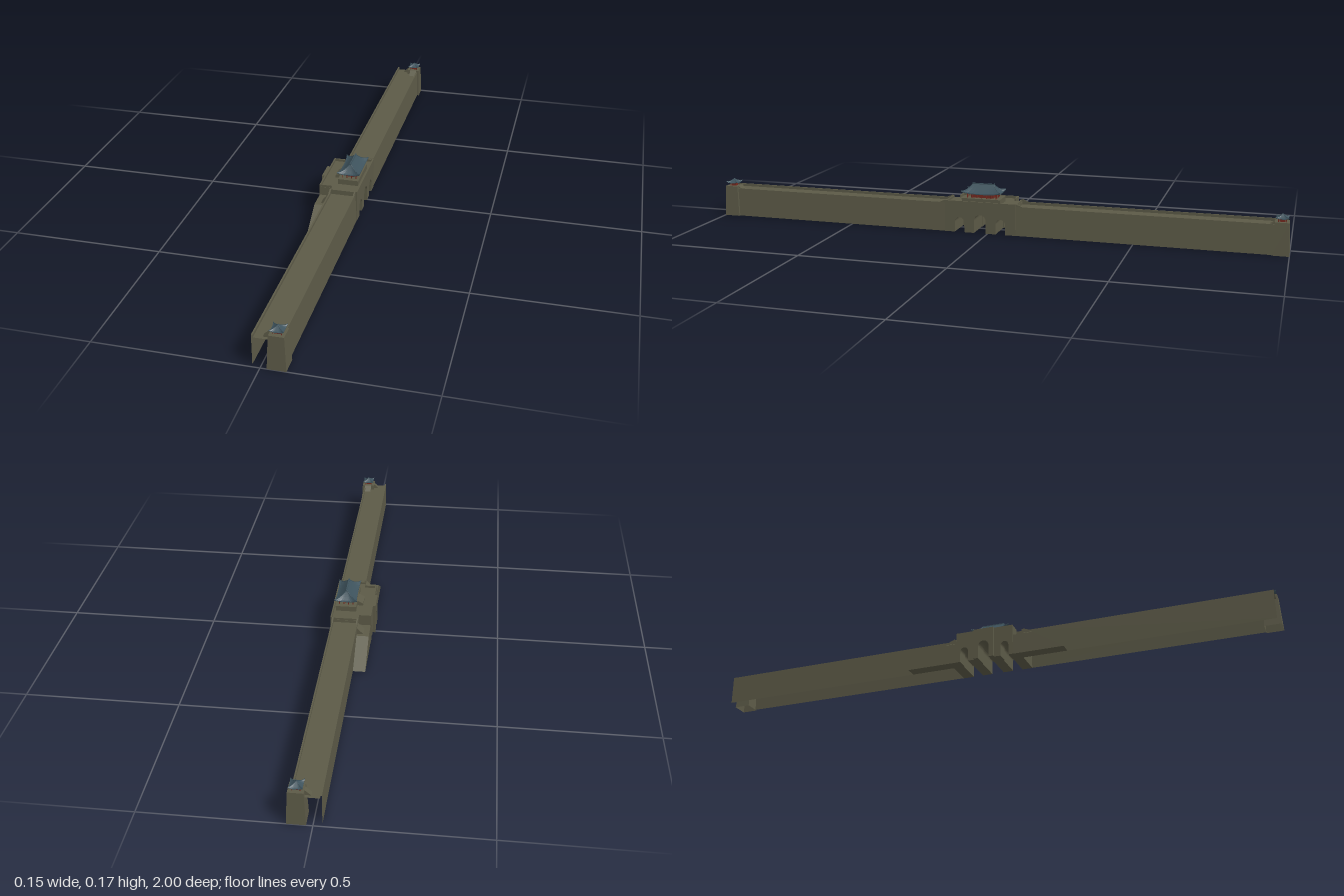
import * as THREE from 'three';

const mat = (name, color) => new THREE.MeshStandardMaterial({ name, color, side: THREE.DoubleSide });

export function createModel() {
  const stone = mat('olive stone', 0x5c5a47);
  const tile = mat('teal roof tile', 0x3d525c);
  const red = mat('red timber', 0x74291f);
  const root = new THREE.Group();
  root.name = 'fortress wall';
  const MID = 0.027; // z of the gate's middle

  const add = (name, geo, m, parent = root) => {
    const mesh = new THREE.Mesh(geo, m);
    mesh.name = name;
    parent.add(mesh);
    return mesh;
  };
  // Box given by its limits
  const box = (name, m, x0, x1, y0, y1, z0, z1, parent) =>
    add(name, new THREE.BoxGeometry(x1 - x0, y1 - y0, z1 - z0)
      .translate((x0 + x1) / 2, (y0 + y1) / 2, (z0 + z1) / 2), m, parent);
  // Flat-shaded surface from a list of quads
  const quads = (list) => {
    const pos = [];
    for (const [a, b, c, d] of list) pos.push(...a, ...b, ...c, ...a, ...c, ...d);
    const g = new THREE.BufferGeometry();
    g.setAttribute('position', new THREE.Float32BufferAttribute(pos, 3));
    g.computeVertexNormals();
    return g;
  };
  // Solid with a (z, y) side outline, running from x0 to x1
  const alongX = (name, shape, x0, x1) =>
    add(name, new THREE.ExtrudeGeometry(shape, { depth: x1 - x0, bevelEnabled: false, curveSegments: 8 })
      .rotateY(Math.PI / 2).translate(x0, 0, 0), stone);
  const outlineZ = (pts) => new THREE.Shape(pts.map(([z, y]) => new THREE.Vector2(-z, y)));
  // Solid with an (x, y) outline, running from z0 to z1
  const alongZ = (name, pts, z0, z1) =>
    add(name, new THREE.ExtrudeGeometry(new THREE.Shape(pts.map((p) => new THREE.Vector2(...p))),
      { depth: z1 - z0, bevelEnabled: false }).translate(0, 0, z0), stone);

  // Long hollow walls with a walkway and parapets, open below and at the ends
  const profile = [[-0.025, 0], [-0.025, 0.1], [-0.02, 0.1], [-0.02, 0.091],
    [0.058, 0.091], [0.058, 0.1], [0.063, 0.1], [0.068, 0]];
  for (const [z0, z1] of [[-0.99, -0.1], [0.153, 0.99]]) {
    const list = [];
    for (let i = 0; i < profile.length - 1; i++) {
      const [a, b] = [profile[i], profile[i + 1]];
      list.push([[...a, z1], [...b, z1], [...b, z0], [...a, z0]]);
    }
    add('longWall', quads(list), stone);
  }

  // Gate block pierced by three arched passages
  const archWall = (name, x0, x1, z0, z1, h, arches) => {
    const s = new THREE.Shape();
    s.moveTo(-z1, 0);
    for (const [z, w, top] of arches) {
      s.lineTo(-z - w, 0);
      s.lineTo(-z - w, top - w);
      s.absarc(-z, top - w, w, Math.PI, 0, true);
      s.lineTo(-z + w, 0);
    }
    s.lineTo(-z0, 0);
    s.lineTo(-z0, h);
    s.lineTo(-z1, h);
    s.closePath();
    return alongX(name, s, x0, x1);
  };
  const passages = (side, mid) => [[MID + 0.073, side, 0.052], [MID, mid, 0.064], [MID - 0.073, side, 0.052]];
  archWall('gateFront', -0.025, 0.069, -0.1, 0.153, 0.1, passages(0.017, 0.021));
  archWall('gateRear', -0.067, -0.025, -0.075, 0.13, 0.1, passages(0.014, 0.019));
  archWall('gateRearBay', -0.076, -0.067, MID - 0.036, MID + 0.036, 0.108, [[MID, 0.019, 0.062]]);

  // Gate parapets
  box('gateParapetFront', stone, 0.064, 0.069, 0.1, 0.109, -0.1, 0.153);
  box('gateParapetRear', stone, -0.067, -0.062, 0.1, 0.108, -0.075, 0.13);
  for (const s of [-1, 1]) {
    const e = MID + s * 0.126, r = MID + s * 0.102;
    const ramp = outlineZ([[e, 0.091], [e, 0.109], [e + s * 0.022, 0.1], [e + s * 0.022, 0.091]]);
    alongX('parapetRamp', ramp, 0.058, 0.063);
    alongX('parapetRamp', ramp, -0.025, -0.02);
    box('gateParapetSide', stone, -0.025, 0.064, 0.1, 0.107, Math.min(e, e - s * 0.005), Math.max(e, e - s * 0.005));
    box('rearParapetSide', stone, -0.067, -0.025, 0.1, 0.108, Math.min(r, r - s * 0.005), Math.max(r, r - s * 0.005));

    // Rear ramp rising to a landing, then a short flight onto the wall
    alongX('rearRamp', outlineZ([[MID + s * 0.28, 0], [MID + s * 0.172, 0.07], [r, 0.07], [r, 0]]), -0.066, -0.025);
    const f0 = MID + s * 0.125, f1 = MID + s * 0.16;
    alongZ('upperFlight', [[-0.047, 0.07], [-0.025, 0.07], [-0.025, 0.092]], Math.min(f0, f1), Math.max(f0, f1));
  }

  // Curved roof with upswept corners, built ring by ring from eave to ridge
  const roof = (parent, cx, cz, y0, y1, eave, ridge, lift) => {
    const N = 8, R = 6, rings = [];
    for (let j = 0; j <= R; j++) {
      const t = j / R, k = (1 - t) ** 2;
      const hx = eave[0] + (ridge[0] - eave[0]) * t, hz = eave[1] + (ridge[1] - eave[1]) * t;
      const ring = [];
      for (let side = 0; side < 4; side++) for (let i = 0; i < N; i++) {
        const s = -1 + (2 * i) / N;
        const [u, v] = [[s, 1], [1, -s], [-s, -1], [-1, s]][side];
        const c = Math.abs(s) ** 4 * k;
        const out = 1 + 0.1 * c;
        ring.push([cx + u * hx * out, y0 + (y1 - y0) * t ** 1.4 + lift * c, cz + v * hz * out]);
      }
      rings.push(ring);
    }
    const list = [], n = 4 * N, thick = lift * 0.35;
    for (let j = 0; j < R; j++) for (let i = 0; i < n; i++) {
      const m = (i + 1) % n;
      list.push([rings[j][i], rings[j][m], rings[j + 1][m], rings[j + 1][i]]);
    }
    // Eave edge and underside
    const low = rings[0].map(([x, y, z]) => [x, y - thick, z]);
    for (let i = 0; i < n; i++) {
      const m = (i + 1) % n, c = [cx, y0, cz];
      list.push([low[i], low[m], rings[0][m], rings[0][i]], [low[m], low[i], c, c]);
    }
    add('roof', quads(list), tile, parent);
    // Hip ridges ending in raised tips
    for (let side = 0; side < 4; side++) {
      const path = new THREE.CatmullRomCurve3(rings.map((r) => new THREE.Vector3(...r[side * N])));
      add('hipRidge', new THREE.TubeGeometry(path, 8, lift * 0.18, 4), tile, parent);
    }
  };

  // Gate pavilion on its podium
  const pavilion = new THREE.Group();
  pavilion.name = 'gatePavilion';
  root.add(pavilion);
  const PX = 0.024;
  box('podium', stone, -0.012, 0.058, 0.1, 0.118, MID - 0.068, MID + 0.068, pavilion);
  alongZ('podiumStair', [[-0.032, 0.1], [-0.012, 0.1], [-0.012, 0.118], [-0.032, 0.107]], MID - 0.025, MID + 0.025);
  box('hall', red, PX - 0.015, PX + 0.015, 0.118, 0.137, MID - 0.04, MID + 0.04, pavilion);
  const column = (x, z, y0, y1, r, parent) =>
    add('column', new THREE.CylinderGeometry(r, r, y1 - y0, 6).translate(x, (y0 + y1) / 2, z), red, parent);
  for (let i = 0; i < 7; i++) for (const s of [-1, 1])
    column(PX + s * 0.023, MID - 0.051 + i * 0.017, 0.118, 0.137, 0.0016, pavilion);
  for (const x of [-0.008, 0.008]) for (const s of [-1, 1])
    column(PX + x, MID + s * 0.051, 0.118, 0.137, 0.0016, pavilion);
  box('eaveBeam', red, PX - 0.025, PX + 0.025, 0.132, 0.136, MID - 0.053, MID + 0.053, pavilion);
  roof(pavilion, PX, MID, 0.135, 0.163, [0.035, 0.063], [0.0015, 0.038], 0.008);
  box('ridge', tile, PX - 0.002, PX + 0.002, 0.161, 0.166, MID - 0.04, MID + 0.04, pavilion);
  for (const s of [-1, 1])
    add('ridgeFinial', new THREE.ConeGeometry(0.003, 0.009, 4).translate(PX, 0.165, MID + s * 0.038), tile, pavilion);

  // Corner towers at both ends
  for (const s of [-1, 1]) {
    const tower = new THREE.Group();
    tower.name = 'cornerTower';
    root.add(tower);
    const x = 0.047, z = s * 0.972, q = Math.SQRT2;
    add('towerBody', new THREE.CylinderGeometry(0.023 * q, 0.028 * q, 0.108, 4, 1, true).rotateY(Math.PI / 4)
      .toNonIndexed().translate(x, 0.054, z), stone, tower).geometry.computeVertexNormals();
    box('towerTop', stone, x - 0.023, x + 0.023, 0.104, 0.108, z - 0.023, z + 0.023, tower);
    alongX('towerStep', outlineZ([[z - s * 0.023, 0.09], [z - s * 0.023, 0.108], [z - s * 0.045, 0.091]]), 0.035, 0.06);
    alongZ('towerStep', [[0.005, 0.091], [0.024, 0.091], [0.024, 0.108]], z - 0.008, z + 0.008);
    box('towerRoom', red, x - 0.009, x + 0.009, 0.108, 0.12, z - 0.009, z + 0.009, tower);
    for (const a of [-1, 1]) for (const b of [-1, 1])
      column(x + a * 0.012, z + b * 0.012, 0.108, 0.12, 0.0012, tower);
    roof(tower, x, z, 0.119, 0.132, [0.019, 0.019], [0.001, 0.001], 0.005);
    add('towerFinial', new THREE.ConeGeometry(0.0018, 0.007, 6).translate(x, 0.134, z), tile, tower);
  }
  return root;
}
